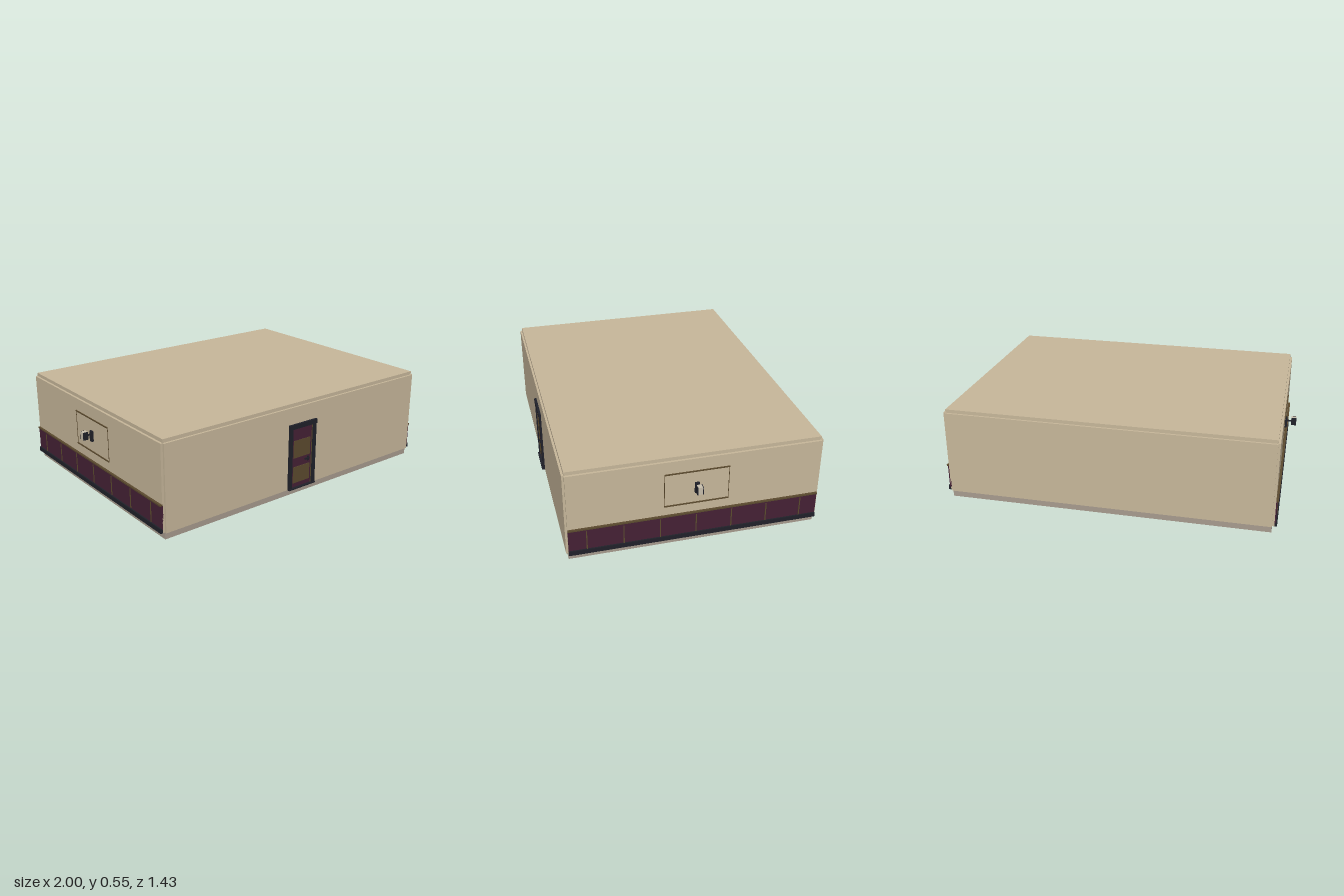
import * as THREE from 'three';

const mat = (name, color) => {
  const m = new THREE.MeshStandardMaterial({ color });
  m.name = name;
  return m;
};

// Box given by its minimum and maximum corners
function box(parent, name, material, x0, x1, y0, y1, z0, z1) {
  const mesh = new THREE.Mesh(new THREE.BoxGeometry(x1 - x0, y1 - y0, z1 - z0), material);
  mesh.position.set((x0 + x1) / 2, (y0 + y1) / 2, (z0 + z1) / 2);
  mesh.name = name;
  parent.add(mesh);
  return mesh;
}

function group(parent, name) {
  const g = new THREE.Group();
  g.name = name;
  parent.add(g);
  return g;
}

export function createModel() {
  const tan = mat('tan plaster', 0xc8b89b);
  const stone = mat('floor stone', 0xa89c8f);
  const black = mat('black trim', 0x20212a);
  const plum = mat('plum panel', 0x452135);
  const bronze = mat('bronze trim', 0x5c4b2f);
  const glass = mat('lamp glass', 0xc9c0ae);

  const model = new THREE.Group();
  model.name = 'room';

  const W = 0.922, Y0 = 0.04, Y1 = 0.53;     // half width, wall bottom and top
  const ZF = 0.687, ZB = -0.703, ZC = -0.008; // slab front, back and centre
  const T = 0.012;                            // wall overhang beyond the slabs

  // Floor and ceiling slabs
  box(model, 'floor', stone, -W, W, 0, Y0, ZB, ZF);
  box(model, 'ceiling', tan, -W, W, Y1 - 0.01, 0.55, ZB, ZF);

  // Walls, the front one with a doorway
  const walls = group(model, 'walls');
  box(walls, 'backWall', tan, -W, W, Y0, Y1, ZB - T, ZB + 0.01);
  box(walls, 'frontWallRight', tan, -W, -0.09, Y0, Y1, ZF - 0.01, ZF + T);
  box(walls, 'frontWallLeft', tan, 0.09, W, Y0, Y1, ZF - 0.01, ZF + T);
  box(walls, 'wallAboveDoor', tan, -0.09, 0.09, 0.41, Y1, ZF - 0.01, ZF + T);

  // Door with its frame
  const door = group(model, 'door');
  for (const s of [-1, 1]) {
    const x = s * 0.088;
    box(door, 'doorJamb', black, x - 0.012, x + 0.012, Y0, 0.405, 0.675, 0.71);
    box(door, 'jambBead', bronze, s * 0.0745 - 0.0015, s * 0.0745 + 0.0015, Y0, 0.405, 0.675, 0.704);
  }
  box(door, 'doorLintel', black, -0.102, 0.102, 0.405, 0.432, 0.675, 0.713);
  box(door, 'doorSill', black, -0.1, 0.1, Y0, 0.046, 0.675, 0.717);
  box(door, 'doorLeaf', plum, -0.076, 0.076, Y0, 0.405, 0.68, 0.7);
  for (const [y0, y1] of [[0.072, 0.17], [0.225, 0.33]]) {
    box(door, 'doorPanel', bronze, -0.062, 0.062, y0, y1, 0.699, 0.703);
  }
  box(door, 'handlePlate', black, 0.044, 0.056, 0.188, 0.215, 0.699, 0.705);
  box(door, 'doorHandle', black, 0.02, 0.054, 0.2, 0.209, 0.704, 0.711);

  // Everything on a side wall, built for +x and turned half round for -x
  for (const s of [1, -1]) {
    const side = group(model, s > 0 ? 'leftSide' : 'rightSide');
    side.position.z = ZC;
    if (s < 0) side.rotation.y = Math.PI;
    const D = (ZF - ZB) / 2;
    box(side, 'sideWall', tan, W - 0.01, 0.935, Y0, Y1, -D, D);

    // Panelled dado with base, rail and dividing strips
    box(side, 'dado', plum, 0.93, 0.941, 0.06, 0.192, -D, D);
    box(side, 'skirting', black, 0.93, 0.949, Y0, 0.066, -D, D);
    box(side, 'dadoRail', bronze, 0.93, 0.948, 0.192, 0.2, -D, D);
    for (let i = -3; i <= 3; i++) {
      const z = i * 0.199;
      box(side, 'dadoStrip', bronze, 0.94, 0.944, 0.066, 0.18, z - 0.003, z + 0.003);
    }

    // Thin moulding frame
    for (const y of [0.257, 0.455]) {
      box(side, 'frameRail', bronze, 0.93, 0.941, y - 0.003, y + 0.003, -0.178, 0.178);
    }
    for (const z of [-0.177, 0.177]) {
      box(side, 'frameStile', bronze, 0.93, 0.937, 0.257, 0.455, z - 0.0015, z + 0.0015);
    }

    // Wall lamp: back plate, arm and a glass shade between dark cheeks
    const lamp = group(side, 'wallLamp');
    box(lamp, 'lampPlate', black, 0.934, 0.947, 0.323, 0.385, -0.012, 0.012);
    box(lamp, 'lampArm', black, 0.945, 0.972, 0.361, 0.369, -0.004, 0.004);
    box(lamp, 'lampShade', glass, 0.97, 1, 0.346, 0.39, -0.013, 0.013);
    for (const z of [-0.015, 0.015]) {
      box(lamp, 'lampCheek', black, 0.97, 1, 0.345, 0.39, z - 0.002, z + 0.002);
    }
  }

  return model;
}
